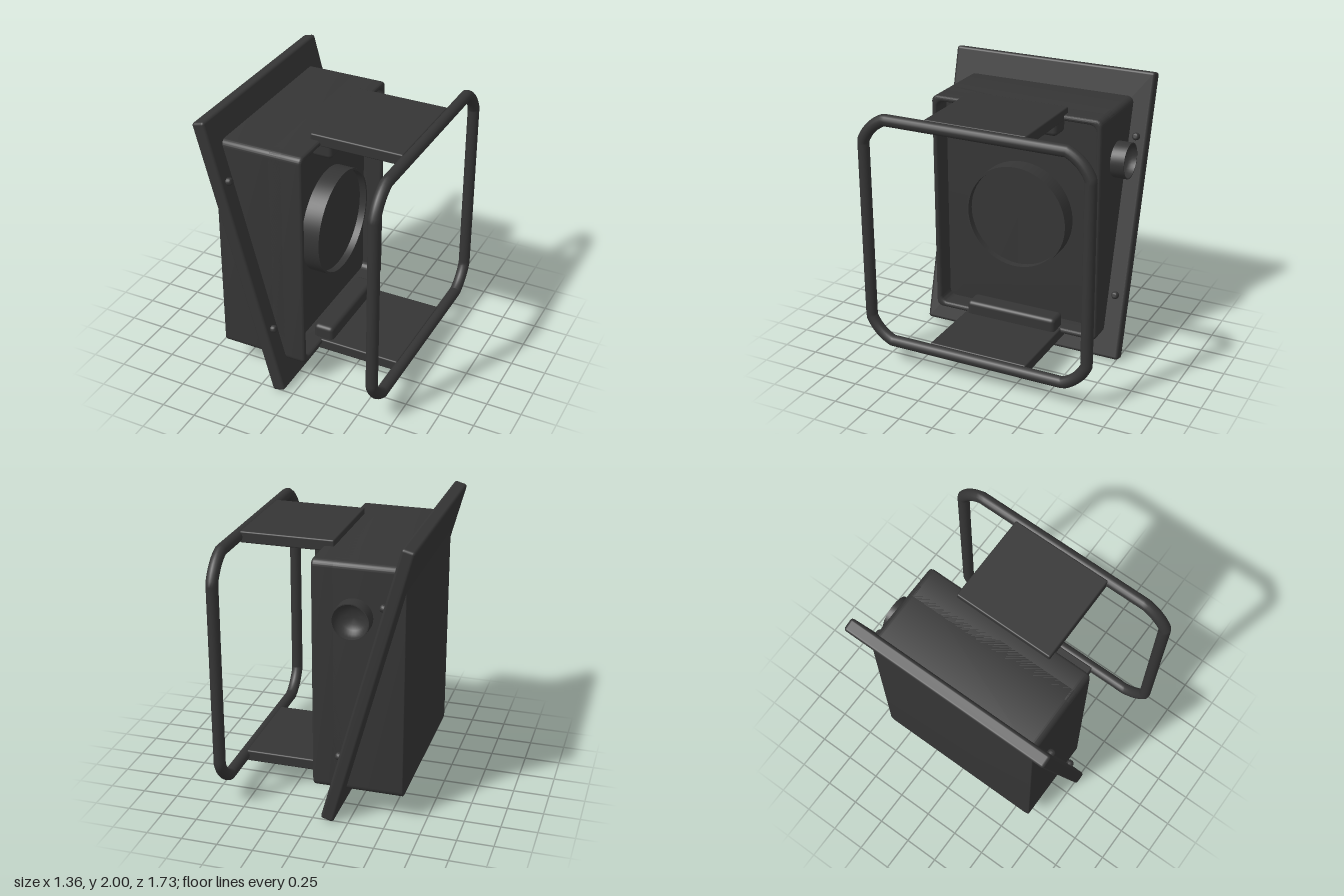
import * as THREE from 'three';
import { toCreasedNormals } from 'three/addons/utils/BufferGeometryUtils.js';
import { RoundedBoxGeometry } from 'three/addons/geometries/RoundedBoxGeometry.js';

const material = new THREE.MeshStandardMaterial({ color: 0x353535 });
const openMaterial = new THREE.MeshStandardMaterial({ color: 0x353535, side: THREE.DoubleSide });
const MID = 1.01; // height of the housing's centre

function add(parent, name, geometry, x = 0, y = 0, z = 0, mat = material) {
  const mesh = new THREE.Mesh(geometry, mat);
  mesh.name = name;
  mesh.position.set(x, y, z);
  parent.add(mesh);
  return mesh;
}

// Rounded rectangle centred on the origin
function roundedRect(path, w, h, r) {
  const a = w / 2 - r, b = h / 2 - r;
  path.absarc(a, b, r, 0, Math.PI / 2);
  path.absarc(-a, b, r, Math.PI / 2, Math.PI);
  path.absarc(-a, -b, r, Math.PI, Math.PI * 1.5);
  path.absarc(a, -b, r, Math.PI * 1.5, Math.PI * 2);
  path.closePath();
  return path;
}

// Extrudes a shape along +x between two x positions, with softened ends
function extrudeX(shape, x0, x1, bevel) {
  const g = new THREE.ExtrudeGeometry(shape, {
    depth: x1 - x0 - 2 * bevel, curveSegments: 6, bevelEnabled: true,
    bevelThickness: bevel, bevelSize: bevel, bevelOffset: -bevel, bevelSegments: 4,
  });
  g.translate(0, 0, x0 + bevel);
  g.rotateY(Math.PI / 2);
  return toCreasedNormals(g, 0.45);
}

// Turned part from [radius, height] pairs
function turned(profile, segments) {
  const points = profile.map(([r, y]) => new THREE.Vector2(r, y));
  return toCreasedNormals(new THREE.LatheGeometry(points, segments), 0.6);
}

// Rod path: rectangle in the y-z plane with cut, slightly rounded corners
function loopPath(hz, hy, r) {
  const path = new THREE.CurvePath();
  const p = (z, y) => new THREE.Vector3(0, y, z);
  const corners = [[1, 1], [-1, 1], [-1, -1], [1, -1]];
  corners.forEach(([sz, sy], i) => {
    const alongZ = p(sz * (hz - r), sy * hy), alongY = p(sz * hz, sy * (hy - r));
    const even = i % 2 === 0;
    const start = even ? alongY : alongZ, end = even ? alongZ : alongY;
    const mid = p(sz * (hz - r * 0.3), sy * (hy - r * 0.3));
    path.add(new THREE.QuadraticBezierCurve3(start, mid, end));
    const [nz, ny] = corners[(i + 1) % 4];
    path.add(new THREE.LineCurve3(end, even ? p(nz * (hz - r), ny * hy) : p(nz * hz, ny * (hy - r))));
  });
  return path;
}

export function createModel() {
  const model = new THREE.Group();

  // Housing: solid rear block and hollow rim facing +x
  add(model, 'housing', extrudeX(roundedRect(new THREE.Shape(), 1.28, 1.64, 0.045), -0.6, -0.11, 0.006), 0, MID);
  const rim = roundedRect(new THREE.Shape(), 1.28, 1.64, 0.045);
  rim.holes.push(roundedRect(new THREE.Path(), 1.2, 1.56, 0.05));
  add(model, 'housingRim', extrudeX(rim, -0.22, 0.034, 0.019), 0, MID);

  // Raised ring on the cavity floor, with a sunken disc
  const ring = turned([[0.383, -0.02], [0.383, 0.13], [0.368, 0.13], [0.368, 0.08], [0, 0.08]], 64);
  ring.rotateZ(-Math.PI / 2);
  add(model, 'lensRing', ring, -0.11, MID, 0, openMaterial);

  // Slanted flange plate with four bolts
  const flange = new THREE.Group();
  flange.name = 'flange';
  flange.position.set(-0.371, 1.003, 0);
  flange.rotation.z = THREE.MathUtils.degToRad(15.1);
  model.add(flange);
  add(flange, 'flangePlate', new RoundedBoxGeometry(0.093, 2.055, 1.54, 3, 0.02));
  for (const y of [0.575, -0.56]) {
    for (const z of [0.695, -0.695]) {
      const bolt = turned([[0.027, -0.02], [0.027, 0.018], [0.02, 0.03], [0.01, 0.035], [0, 0.036]], 12);
      bolt.rotateZ(-Math.PI / 2);
      add(flange, 'bolt', bolt, 0.0465, y, z);
    }
  }

  // Open cup-shaped port on the -z side
  const port = turned([[0.127, -0.02], [0.127, 0.1], [0.12, 0.1], [0.118, 0.07],
    [0.106, 0.045], [0.085, 0.025], [0.05, 0.01], [0, 0.005]], 32);
  port.rotateX(-Math.PI / 2);
  add(model, 'sidePort', port, -0.258, 1.47, -0.64, openMaterial);

  // Mirrored arms and their clamp blocks
  for (const s of [1, -1]) {
    add(model, 'arm', new RoundedBoxGeometry(0.655, 0.08, 0.735, 2, 0.01), 0.2875, MID + s * 0.822, 0);
    add(model, 'clampBlock', new RoundedBoxGeometry(0.15, 0.13, 0.695, 3, 0.03), 0.03, MID + s * 0.75, 0);
  }

  // Guard loop of round rod
  const loop = new THREE.TubeGeometry(loopPath(0.822, 0.822, 0.165), 240, 0.041, 16, true);
  add(model, 'guardLoop', loop, 0.635, MID, 0);

  return model;
}
